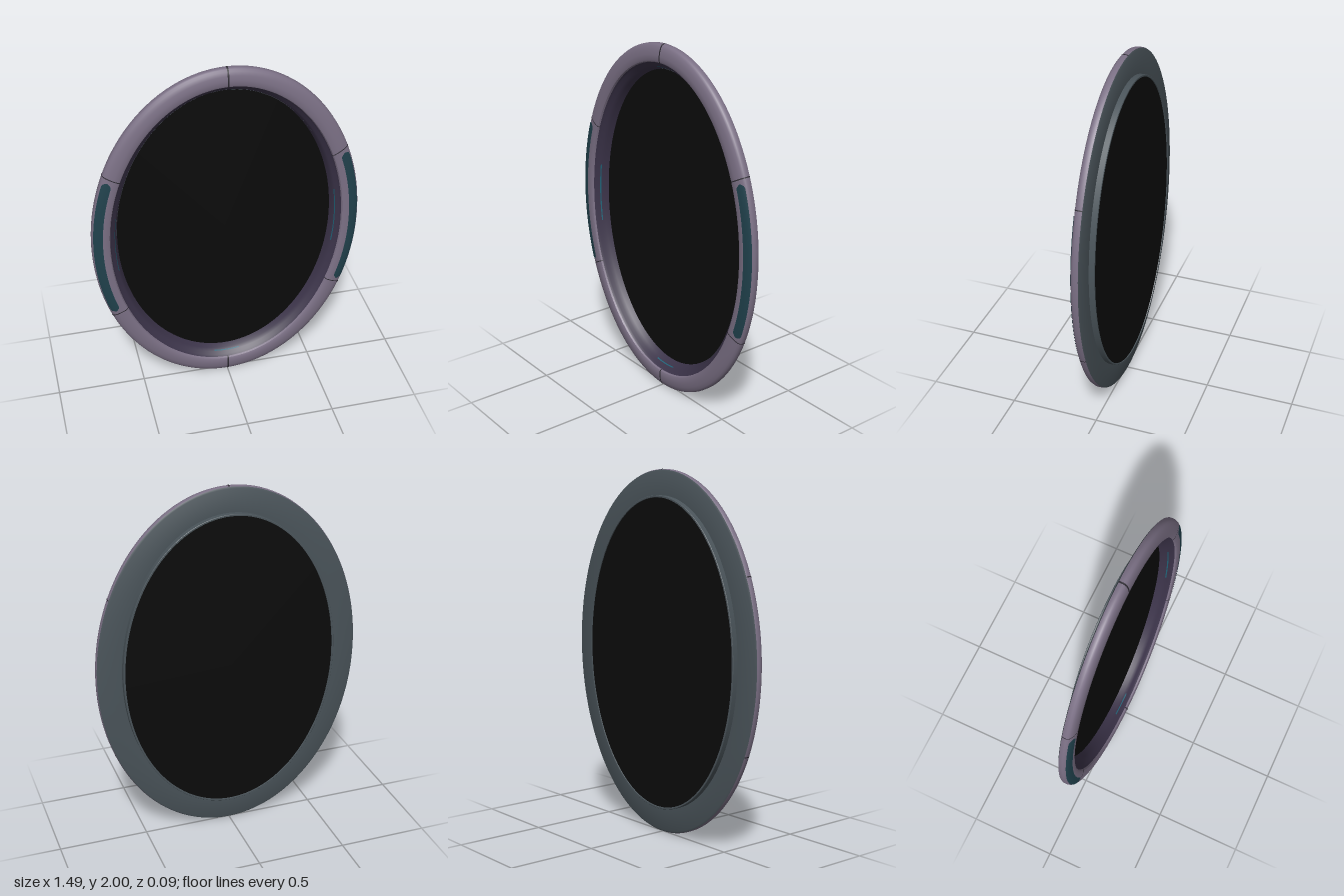
import * as THREE from 'three';
import { toCreasedNormals } from 'three/addons/utils/BufferGeometryUtils.js';

const A = 0.745, B = 1.0; // outer half-width and half-height of the oval

const paint = (name, color) => {
  const m = new THREE.MeshStandardMaterial({ color });
  m.name = name;
  return m;
};

// Sweeps a cross-section of [inset, z] points along the oval from angle t0 to t1
function band(section, t0 = 0, t1 = Math.PI * 2, steps = 128) {
  const pos = [], index = [];
  let n = 0;
  for (let i = 0; i <= steps; i++) {
    const u = i / steps, t = t0 + (t1 - t0) * u;
    const points = typeof section === 'function' ? section(u) : section;
    n = points.length;
    for (const [d, z] of points) pos.push((A - d) * Math.cos(t), (B - d) * Math.sin(t), z);
  }
  for (let i = 0; i < steps; i++) {
    for (let j = 0; j < n - 1; j++) {
      const a = i * n + j, c = a + n;
      index.push(a, c, a + 1, c, c + 1, a + 1);
    }
  }
  const g = new THREE.BufferGeometry();
  g.setAttribute('position', new THREE.Float32BufferAttribute(pos, 3));
  g.setIndex(index);
  return toCreasedNormals(g, 0.65);
}

// Rounded front of the frame, from outer side to inner lip
const front = [[0.003, -0.01], [0, -0.004], [0, 0.014], [0.004, 0.024], [0.014, 0.032],
  [0.035, 0.039], [0.06, 0.043], [0.085, 0.043], [0.095, 0.039], [0.1, 0.03]];

// Height of the front surface at a given inset
function frontZ(d) {
  for (let i = 3; i < front.length; i++) {
    const [d0, z0] = front[i - 1], [d1, z1] = front[i];
    if (d <= d1) return z0 + (z1 - z0) * (d - d0) / (d1 - d0);
  }
  return 0.03;
}

export function createModel() {
  const group = new THREE.Group();
  const mauve = paint('mauve frame', 0x7b7085);
  const slate = paint('slate backing', 0x4a545a);
  const indigo = paint('dark indigo', 0x3b3349);
  const teal = paint('dark teal', 0x20414c);
  const cyan = paint('dim cyan', 0x1f6175);
  const dark = paint('seam grey', 0x2c2a31);
  const black = paint('black glass', 0x0b0b0b);
  black.side = THREE.DoubleSide;

  const add = (name, geometry, material) => {
    const mesh = new THREE.Mesh(geometry, material);
    mesh.name = name;
    group.add(mesh);
    return mesh;
  };

  // Frame, its inner wall, backing plate and rear rim
  add('frame', band(front), mauve);
  add('innerWall', band([[0.1, 0.03], [0.108, 0.018], [0.125, 0.008], [0.137, -0.012], [0.147, -0.041]]), indigo);
  add('backPlate', band([[0.142, -0.015], [0.012, -0.015], [0.003, -0.01]]), slate);
  add('rearRim', band([[0.15, -0.041], [0.149, -0.046], [0.141, -0.046], [0.139, -0.044], [0.139, -0.014]]), slate);

  // Oval pane
  const pane = add('pane', new THREE.CircleGeometry(1, 128), black);
  pane.scale.set(A - 0.145, B - 0.145, 1);
  pane.position.z = -0.041;

  // Seams between frame segments
  const raised = front.map(([d, z]) => [0.05 + (d - 0.05) * 1.025, 0.01 + (z - 0.01) * 1.04]);
  const side = 0.48;
  const seams = [[Math.PI / 2, 0.006], [-Math.PI / 2, 0.006]];
  for (const t of [side, Math.PI - side, Math.PI + side, -side]) seams.push([t, 0.003]);
  for (const [t, w] of seams) add('seam', band(raised, t - w, t + w, 2), dark);

  // Inlaid side panels with rounded ends
  const panel = (u) => {
    const e = Math.min(1, Math.min(u, 1 - u) / 0.035);
    const half = 0.003 + 0.022 * Math.sqrt(1 - (1 - e) ** 2);
    const row = [];
    for (let k = 0; k <= 6; k++) {
      const d = 0.033 + half * (k / 3 - 1);
      row.push([d, frontZ(d) + 0.0025]);
    }
    return row;
  };
  for (const [name, t] of [['leftPanel', 0], ['rightPanel', Math.PI]]) {
    add(name, band(panel, t - 0.455, t + 0.455, 64), teal);
  }

  // Faint light lines inside the opening
  for (let k = 0; k < 4; k++) {
    const t = k * Math.PI / 2, w = k % 2 ? 0.12 : 0.2;
    add('lightLine', band([[0.127, 0.0065], [0.1305, 0.0005]], t - w, t + w, 24), cyan);
  }

  group.position.y = 1;
  const model = new THREE.Group();
  model.name = 'ovalFrame';
  model.add(group);
  return model;
}
